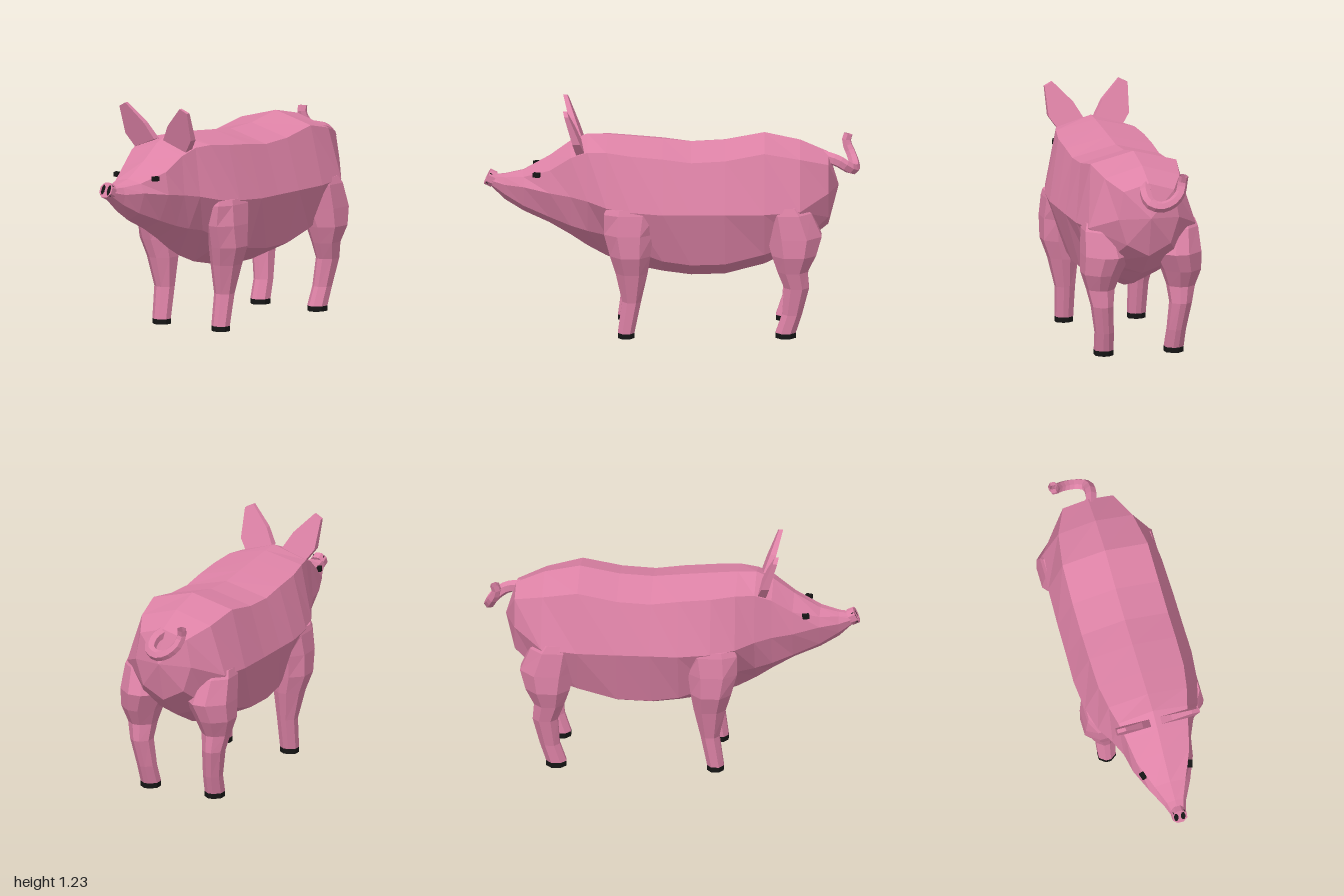
import * as THREE from 'three';

const pink = new THREE.MeshStandardMaterial({ color: 0xdd82a6, flatShading: true });
const black = new THREE.MeshStandardMaterial({ color: 0x151515, flatShading: true });
const V = (x, y, z) => new THREE.Vector3(x, y, z);

// Skin through rings of equal size, counter-clockwise seen from the first ring, closed by end points
function loft(rings, start, end) {
  const pos = [];
  const tri = (...p) => p.forEach((v) => pos.push(v.x, v.y, v.z));
  const n = rings[0].length;
  const last = rings[rings.length - 1];
  for (let i = 0; i < n; i++) {
    const j = (i + 1) % n;
    for (let k = 0; k < rings.length - 1; k++) {
      const p = rings[k], q = rings[k + 1];
      tri(p[i], q[i], p[j]);
      tri(p[j], q[i], q[j]);
    }
    tri(start, rings[0][i], rings[0][j]);
    tri(end, last[j], last[i]);
  }
  const g = new THREE.BufferGeometry();
  g.setAttribute('position', new THREE.Float32BufferAttribute(pos, 3));
  g.computeVertexNormals();
  return g;
}

// Eight-sided section: spine, shoulder edge, flank, belly edge, keel
function bodyRing([z, yTop, xT, yT, xU, yU, xL, yL, yB]) {
  return [V(0, yB, z), V(xL, yL, z), V(xU, yU, z), V(xT, yT, z),
    V(0, yTop, z), V(-xT, yT, z), V(-xU, yU, z), V(-xL, yL, z)];
}

// Leg section: rectangle with cut corners, given by its extents
function legRing([y, x0, x1, zF, zB], s) {
  const cx = (x1 - x0) * 0.35, cz = (zF - zB) * 0.27;
  const r = [V(s * x1, y, zF - cz), V(s * x1, y, zB + cz), V(s * (x1 - cx), y, zB), V(s * (x0 + cx), y, zB),
    V(s * x0, y, zB + cz), V(s * x0, y, zF - cz), V(s * (x0 + cx), y, zF), V(s * (x1 - cx), y, zF)];
  return s < 0 ? r.reverse() : r;
}

function legPart(sections, s) {
  const rings = sections.map((c) => legRing(c, s));
  const mid = (r) => r.reduce((a, p) => a.add(p), V(0, 0, 0)).divideScalar(r.length);
  return loft(rings, mid(rings[0]), mid(rings[rings.length - 1]));
}

export function createModel() {
  const pig = new THREE.Group();
  pig.name = 'pig';
  const add = (name, geometry, material, parent = pig) => {
    const m = new THREE.Mesh(geometry, material);
    m.name = name;
    parent.add(m);
    return m;
  };

  // Head and trunk, from snout to rump: z, yTop, xT, yT, xU, yU, xL, yL, yB
  const trunk = [
    [0.97, 0.84, 0.025, 0.838, 0.036, 0.82, 0.03, 0.80, 0.787],
    [0.89, 0.845, 0.045, 0.838, 0.06, 0.80, 0.045, 0.745, 0.708],
    [0.79, 0.868, 0.085, 0.85, 0.11, 0.80, 0.075, 0.69, 0.645],
    [0.65, 0.95, 0.145, 0.90, 0.165, 0.78, 0.105, 0.635, 0.58],
    [0.54, 1.03, 0.17, 0.975, 0.185, 0.765, 0.13, 0.595, 0.515],
    [0.45, 1.068, 0.19, 1.01, 0.222, 0.75, 0.145, 0.57, 0.455],
    [0.35, 1.065, 0.215, 1.015, 0.275, 0.725, 0.16, 0.55, 0.40],
    [0.22, 1.055, 0.235, 1.0, 0.31, 0.71, 0.205, 0.48, 0.35],
    [0.05, 1.04, 0.238, 0.985, 0.325, 0.70, 0.235, 0.425, 0.315],
    [-0.1, 1.025, 0.238, 0.965, 0.322, 0.70, 0.24, 0.405, 0.295],
    [-0.28, 1.035, 0.238, 0.975, 0.32, 0.70, 0.24, 0.41, 0.30],
    [-0.49, 1.075, 0.235, 1.015, 0.314, 0.70, 0.225, 0.46, 0.355],
    [-0.68, 1.035, 0.205, 0.975, 0.293, 0.71, 0.20, 0.52, 0.45],
    [-0.83, 0.97, 0.138, 0.93, 0.165, 0.78, 0.12, 0.64, 0.575],
  ];
  add('body', loft(trunk.map(bodyRing), V(0, 0.815, 0.975), V(0, 0.79, -0.885)), pink);

  // Snout disc with two nostril openings over a dark plate
  const snout = new THREE.Group();
  snout.name = 'snout';
  const oval = (rx, ry, cx = 0) => Array.from({ length: 8 }, (_, i) => {
    const a = (i + 0.5) * Math.PI / 4;
    return new THREE.Vector2(cx + rx * Math.cos(a), ry * Math.sin(a));
  });
  const disc = new THREE.Shape(oval(0.043, 0.045));
  for (const s of [-1, 1]) disc.holes.push(new THREE.Path(oval(0.013, 0.03, s * 0.019)));
  add('snoutDisc', new THREE.ExtrudeGeometry(disc, { depth: 0.04, bevelEnabled: false }), pink, snout);
  const plate = add('nostrils', new THREE.BoxGeometry(0.064, 0.058, 0.012), black, snout);
  plate.position.z = 0.03;
  snout.position.set(0, 0.816, 0.946);
  snout.rotation.x = -0.44;
  pig.add(snout);

  // Leg sections from top to hoof: y, xInner, xOuter, zFront, zBack
  const frontLeg = [
    [0.72, 0.20, 0.306, 0.35, 0.09],
    [0.69, 0.20, 0.314, 0.362, 0.08],
    [0.58, 0.15, 0.325, 0.362, 0.10],
    [0.46, 0.14, 0.325, 0.33, 0.115],
    [0.36, 0.138, 0.29, 0.30, 0.13],
    [0.20, 0.15, 0.252, 0.265, 0.165],
    [0.028, 0.152, 0.245, 0.288, 0.20],
  ];
  const hindLeg = [
    [0.73, 0.12, 0.296, -0.51, -0.70],
    [0.69, 0.11, 0.308, -0.495, -0.74],
    [0.56, 0.07, 0.316, -0.503, -0.795],
    [0.46, 0.12, 0.318, -0.53, -0.765],
    [0.37, 0.15, 0.29, -0.56, -0.72],
    [0.28, 0.16, 0.27, -0.595, -0.728],
    [0.13, 0.15, 0.245, -0.585, -0.69],
    [0.028, 0.143, 0.24, -0.55, -0.657],
  ];

  // Ear outline, leaning forward and thinning towards the tip
  const ear = [[0.03, 1.045], [0.17, 0.99], [0.22, 1.06], [0.227, 1.212], [0.182, 1.234], [0.08, 1.13]];

  for (const s of [1, -1]) {
    const side = s > 0 ? 'left' : 'right';
    for (const [name, sections] of [['FrontLeg', frontLeg], ['HindLeg', hindLeg]]) {
      add(side + name, legPart(sections, s), pink);
      const top = sections[sections.length - 1];
      add(side + name + 'Hoof', legPart([top, [0, ...top.slice(1)]], s), black);
    }

    const outline = new THREE.Shape(ear.map(([x, y]) => new THREE.Vector2(x * s, y)));
    const earGeo = new THREE.ExtrudeGeometry(outline, { depth: 0.048, bevelEnabled: false });
    const p = earGeo.attributes.position;
    for (let i = 0; i < p.count; i++) {
      const lean = (p.getY(i) - 1.0) * 0.4;
      p.setZ(i, p.getZ(i) * (1 - lean * 6) + 0.465 + lean);
    }
    earGeo.computeVertexNormals();
    add(side + 'Ear', earGeo, pink);

    const eye = add(side + 'Eye', new THREE.BoxGeometry(0.024, 0.024, 0.036), black);
    eye.position.set(s * 0.13, 0.872, 0.72);
    eye.rotation.y = -s * 0.3;
  }

  // Curly tail
  const curl = new THREE.CatmullRomCurve3([
    V(0.01, 0.945, -0.80), V(0.03, 0.925, -0.88), V(0.02, 0.885, -0.94), V(-0.035, 0.868, -0.967),
    V(-0.1, 0.89, -0.965), V(-0.145, 0.935, -0.945), V(-0.16, 0.985, -0.925), V(-0.165, 1.025, -0.935),
  ]);
  const rows = 14, sides = 6;
  const tailGeo = new THREE.TubeGeometry(curl, rows, 0.034, sides);
  const tp = tailGeo.attributes.position;
  for (let i = 0; i < tp.count; i++) {
    const t = Math.floor(i / (sides + 1)) / rows;
    const v = new THREE.Vector3().fromBufferAttribute(tp, i);
    v.lerp(curl.getPointAt(t), 0.25 * t);
    tp.setXYZ(i, v.x, v.y, v.z);
  }
  const tailMat = pink.clone();
  tailMat.side = THREE.DoubleSide;
  add('tail', tailGeo, tailMat);
  return pig;
}
